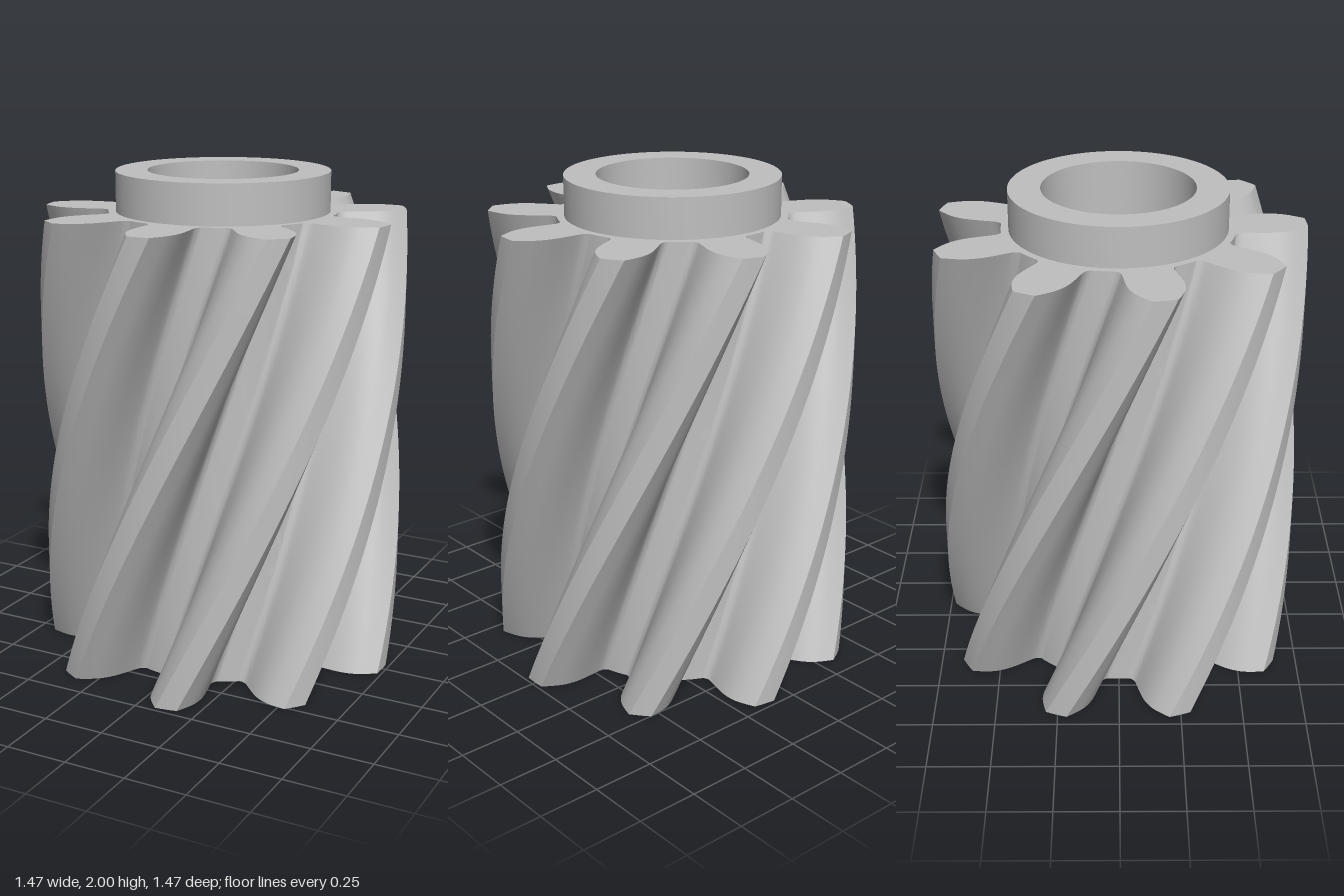
import * as THREE from 'three';
import { toCreasedNormals } from 'three/addons/utils/BufferGeometryUtils.js';

const TEETH = 9, GEAR_HEIGHT = 1.84, TOTAL_HEIGHT = 2;
const TIP_R = 0.735, ROOT_R = 0.457, HUB_R = 0.427, BORE_R = 0.3;
const TOP_PHASE = THREE.MathUtils.degToRad(7.2);
const TWIST = THREE.MathUtils.degToRad(73.2);

// Half of one tooth: distance along the tooth axis, half width
const flank = new THREE.SplineCurve([
  [0.443, 0.112], [0.456, 0.102], [0.476, 0.0975], [0.53, 0.102], [0.58, 0.1045],
  [0.62, 0.101], [0.66, 0.09], [0.7, 0.068], [0.7335, 0.045],
].map(([u, w]) => new THREE.Vector2(u, w))).getPoints(20);

// Toothed outline with a round bore
function gearShape() {
  const tipMiddle = [-0.02, 0, 0.02].map((w) => new THREE.Vector2(Math.sqrt(TIP_R ** 2 - w * w), w));
  const tooth = [
    ...flank.map((p) => new THREE.Vector2(p.x, -p.y)),
    ...tipMiddle,
    ...flank.slice().reverse(),
  ];
  const step = (2 * Math.PI) / TEETH;
  const floorMiddle = [-0.08, 0, 0.08].map((d) => new THREE.Vector2(
    ROOT_R * Math.cos(step / 2 + d), ROOT_R * Math.sin(step / 2 + d)));
  const origin = new THREE.Vector2();
  const outline = [];
  for (let i = 0; i < TEETH; i++) {
    for (const p of [...tooth, ...floorMiddle]) outline.push(p.clone().rotateAround(origin, i * step));
  }
  const shape = new THREE.Shape(outline);
  shape.holes.push(new THREE.Path().absarc(0, 0, BORE_R, 0, 2 * Math.PI, true));
  return shape;
}

// Extrude the outline upwards and twist it about the axis
function helicalGear() {
  const geometry = new THREE.ExtrudeGeometry(gearShape(), {
    depth: GEAR_HEIGHT, steps: 48, bevelEnabled: false, curveSegments: 48,
  });
  geometry.rotateX(-Math.PI / 2);
  const pos = geometry.attributes.position;
  for (let i = 0; i < pos.count; i++) {
    const x = pos.getX(i), y = pos.getY(i), z = pos.getZ(i);
    const a = TOP_PHASE + TWIST * (1 - y / GEAR_HEIGHT);
    pos.setXYZ(i, x * Math.cos(a) - z * Math.sin(a), y, x * Math.sin(a) + z * Math.cos(a));
  }
  return toCreasedNormals(geometry, THREE.MathUtils.degToRad(35));
}

// Plain collar on the top face, open in the middle
function collar() {
  const shape = new THREE.Shape().absarc(0, 0, HUB_R, 0, 2 * Math.PI, false);
  shape.holes.push(new THREE.Path().absarc(0, 0, BORE_R, 0, 2 * Math.PI, true));
  const geometry = new THREE.ExtrudeGeometry(shape, {
    depth: TOTAL_HEIGHT - GEAR_HEIGHT, bevelEnabled: false, curveSegments: 64,
  });
  geometry.rotateX(-Math.PI / 2).translate(0, GEAR_HEIGHT, 0);
  return toCreasedNormals(geometry, THREE.MathUtils.degToRad(35));
}

export function createModel() {
  const steel = new THREE.MeshStandardMaterial({ color: 0xbfbfbf });
  steel.name = 'steel grey';
  const group = new THREE.Group();
  group.name = 'helicalPinion';
  const add = (name, geometry) => {
    const mesh = new THREE.Mesh(geometry, steel);
    mesh.name = name;
    group.add(mesh);
  };
  add('twistedGear', helicalGear());
  add('hubCollar', collar());
  return group;
}
